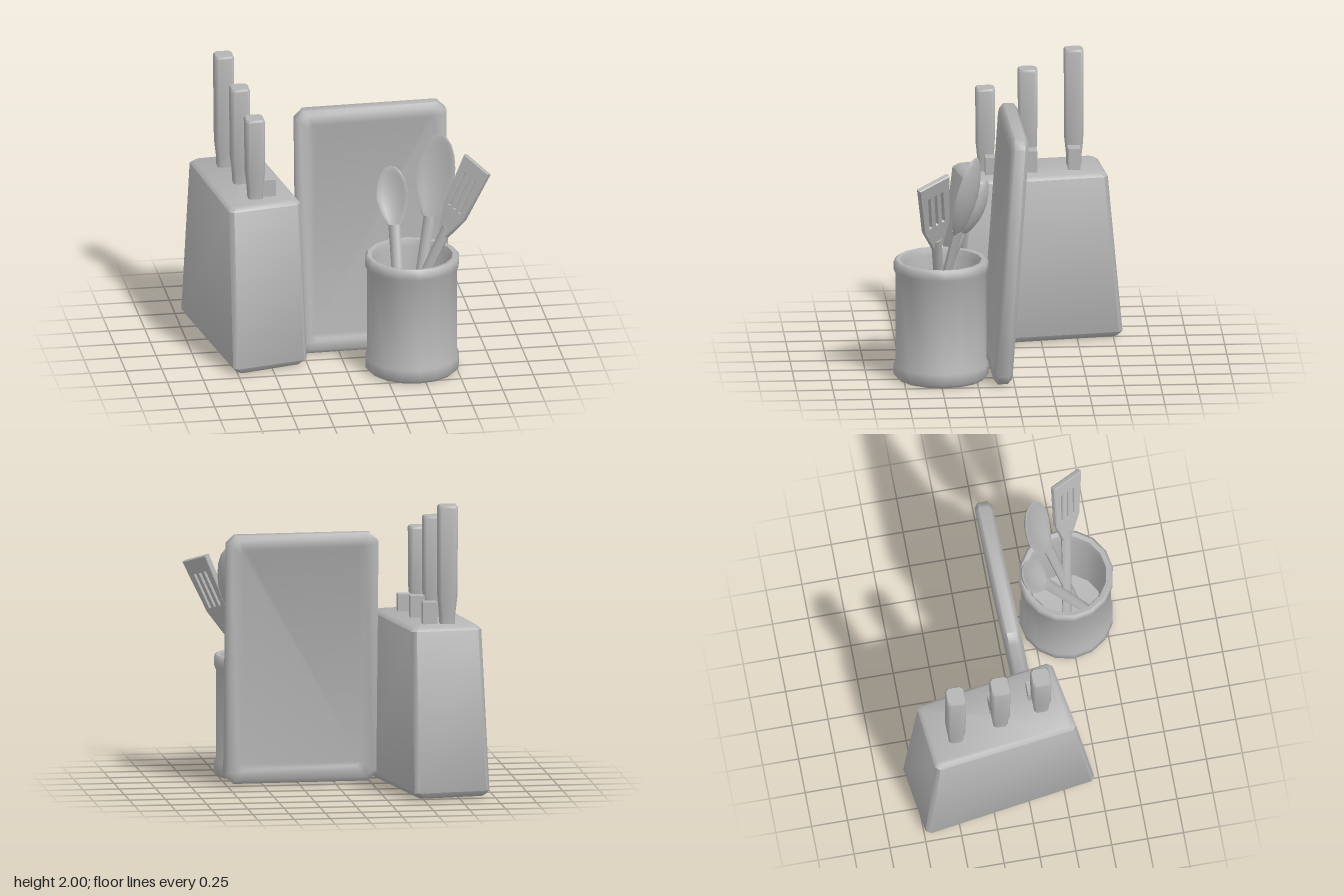
import * as THREE from 'three';
import { toCreasedNormals } from 'three/addons/utils/BufferGeometryUtils.js';

const V = (x, y, z) => new THREE.Vector3(x, y, z);

// Four-cornered outline (counter-clockwise), shrunk by inset, corners cut off
function outline(corners, inset, cut) {
  const pts = corners.map(([x, y]) => new THREE.Vector2(x, y));
  const c = pts.reduce((s, p) => s.add(p), new THREE.Vector2()).divideScalar(4);
  const inner = pts.map((p) => new THREE.Vector2(
    p.x - Math.sign(p.x - c.x) * inset, p.y - Math.sign(p.y - c.y) * inset));
  const out = [];
  inner.forEach((p, i) => {
    for (const q of [inner[(i + 3) % 4], inner[(i + 1) % 4]]) {
      out.push(p.clone().add(q.clone().sub(p).setLength(cut)));
    }
  });
  return out;
}

// Skin over outlines stacked along z, closed at both ends
function loft(levels) {
  const pos = [], idx = [], n = levels[0].pts.length;
  levels.forEach(({ pts, z }) => pts.forEach((p) => pos.push(p.x, p.y, z)));
  for (let k = 0; k < levels.length - 1; k++) {
    for (let i = 0; i < n; i++) {
      const a = k * n + i, b = k * n + (i + 1) % n;
      idx.push(a, b, b + n, a, b + n, a + n);
    }
  }
  const top = (levels.length - 1) * n;
  for (let i = 1; i < n - 1; i++) idx.push(0, i + 1, i, top, top + i, top + i + 1);
  const g = new THREE.BufferGeometry();
  g.setAttribute('position', new THREE.Float32BufferAttribute(pos, 3));
  g.setIndex(idx);
  return g;
}

const rect = (x0, x1, y0, y1) => [[x0, y0], [x1, y0], [x1, y1], [x0, y1]];

export function createModel() {
  const root = new THREE.Group();
  root.name = 'kitchenSet';
  const grey = new THREE.MeshStandardMaterial({ color: 0xb4b4b4 });

  const add = (name, geo, parent = root, crease = 0.9) => {
    const mesh = new THREE.Mesh(toCreasedNormals(geo, crease), grey);
    mesh.name = name;
    parent.add(mesh);
    return mesh;
  };

  // Knife block: tapering, turned slightly, with softened edges
  const foot = [[-0.78, -0.48], [-0.25, -0.36], [-0.44, 0.82], [-0.97, 0.74]];
  const head = [[-0.79, -0.34], [-0.28, -0.25], [-0.43, 0.71], [-0.92, 0.66]];
  const mix = (t) => foot.map((p, i) => p.map((v, j) => v + (head[i][j] - v) * t));
  add('knifeBlock', loft([
    { pts: outline(mix(0), 0.035, 0.03), z: 0.01 },
    { pts: outline(mix(0.04), 0, 0.03), z: 0.05 },
    { pts: outline(mix(0.97), 0, 0.03), z: 1.155 },
    { pts: outline(mix(1), 0.025, 0.03), z: 1.18 },
  ]).rotateX(-Math.PI / 2));

  // Knife handles, each with a short stub standing beside it
  const knives = [
    { x: -0.705, z: -0.49, top: 2.0, stub: [-0.58, -0.485, 1.33] },
    { x: -0.645, z: -0.17, top: 1.88, stub: [-0.535, -0.185, 1.33] },
    { x: -0.588, z: 0.125, top: 1.765, stub: [-0.488, 0.09, 1.3] },
  ];
  for (const { x, z, top, stub } of knives) {
    const knife = new THREE.Group();
    knife.name = 'knife';
    root.add(knife);
    const level = (h, y, dx = 0) => ({
      pts: outline(rect(x - h + dx, x + h + dx, -z - h, -z + h), 0, 0.018), z: y });
    add('knifeHandle', loft([
      level(0.05, 1.15, 0.005), level(0.052, 1.25, 0.004), level(0.063, 1.36, 0.003),
      level(0.066, top - 0.015), level(0.058, top),
    ]).rotateX(-Math.PI / 2), knife);
    const [sx, sz, sy] = stub;
    add('knifeStub', new THREE.BoxGeometry(0.1, sy - 1.1, 0.085)
      .translate(sx, (sy + 1.1) / 2, sz), knife);
  }

  // Cutting board: shallow recessed panels, leaning back
  const edge = rect(-0.29, 0.765, 0.01, 1.75);
  const board = loft([
    [0.11, -0.052, 0.03], [0.09, -0.062, 0.03], [0.03, -0.062, 0.05], [0, -0.035, 0.06],
    [0, 0.035, 0.06], [0.03, 0.062, 0.05], [0.09, 0.062, 0.03], [0.11, 0.052, 0.03],
  ].map(([inset, z, cut]) => ({ pts: outline(edge, inset, cut), z })));
  const bp = board.attributes.position;
  for (let i = 0; i < bp.count; i++) {
    const x = bp.getX(i), y = bp.getY(i);
    bp.setZ(i, bp.getZ(i) + 0.11 - 0.028 * (x + 0.29) - 0.0686 * y);
  }
  add('cuttingBoard', board);

  // Hollow utensil crock with a thick rim and foot
  const profile = [
    [0, 0], [0.3, 0], [0.325, 0.025], [0.325, 0.1], [0.312, 0.13], [0.312, 0.74],
    [0.326, 0.77], [0.326, 0.825], [0.31, 0.84], [0.28, 0.835], [0.265, 0.79],
    [0.26, 0.12], [0, 0.1],
  ].map(([r, y]) => new THREE.Vector2(r, y));
  add('crock', new THREE.LatheGeometry(profile, 16).translate(0.45, 0, 0.49));

  // Utensil frame: y runs from base to tip, x runs across the blade
  const utensil = (name, base, tip, across) => {
    const g = new THREE.Group();
    g.name = name;
    const y = tip.clone().sub(base).normalize();
    const x = across.addScaledVector(y, -across.dot(y)).normalize();
    g.applyMatrix4(new THREE.Matrix4().makeBasis(x, y, x.clone().cross(y)).setPosition(base));
    root.add(g);
    return [g, base.distanceTo(tip)];
  };
  const handle = (g, len) => add('handle',
    new THREE.CylinderGeometry(0.042, 0.035, len, 8).scale(1, 1, 0.75).translate(0, len / 2, 0), g);

  // Spoons: a flattened egg bent into a dish
  const spoon = (name, base, tip, across, halfW, halfH) => {
    const [g, len] = utensil(name, base, tip, across);
    handle(g, len - 1.85 * halfH);
    const bowl = new THREE.SphereGeometry(1, 14, 10);
    const p = bowl.attributes.position;
    for (let i = 0; i < p.count; i++) {
      const x = p.getX(i), y = p.getY(i), z = p.getZ(i);
      const egg = y < 0 ? 1 + 0.3 * y : 1;
      p.setXYZ(i, x * halfW * egg, len - halfH + y * halfH,
        z * 0.022 - 0.05 * (1 - x * x - y * y));
    }
    add('bowl', bowl, g, 1.2);
  };
  spoon('smallSpoon', V(0.35, 0.3, 0.64), V(0.35, 1.37, 0.17), V(0.9, 0, 0.45), 0.115, 0.22);
  spoon('largeSpoon', V(0.44, 0.3, 0.55), V(0.69, 1.62, 0.27), V(1, 0, 0.65), 0.145, 0.31);

  // Slotted spatula
  const [spatula, len] = utensil('spatula', V(0.36, 0.3, 0.48), V(0.89, 1.5, 0.57), V(0.14, -0.06, 0.22));
  handle(spatula, len - 0.5);
  const blade = new THREE.Shape([
    [-0.035, -0.56], [0.035, -0.56], [0.105, -0.38], [0.125, 0], [-0.125, 0], [-0.105, -0.38],
  ].map(([x, y]) => new THREE.Vector2(x, y)));
  for (const x of [-0.055, 0, 0.055]) {
    blade.holes.push(new THREE.Path(
      rect(x - 0.012, x + 0.012, -0.36, -0.1).reverse().map(([a, b]) => new THREE.Vector2(a, b))));
  }
  add('blade', new THREE.ExtrudeGeometry(blade, {
    depth: 0.025, bevelEnabled: true, bevelSize: 0.005, bevelThickness: 0.008, bevelSegments: 1,
  }).translate(0, len, -0.0125), spatula, 0.5);

  return root;
}
